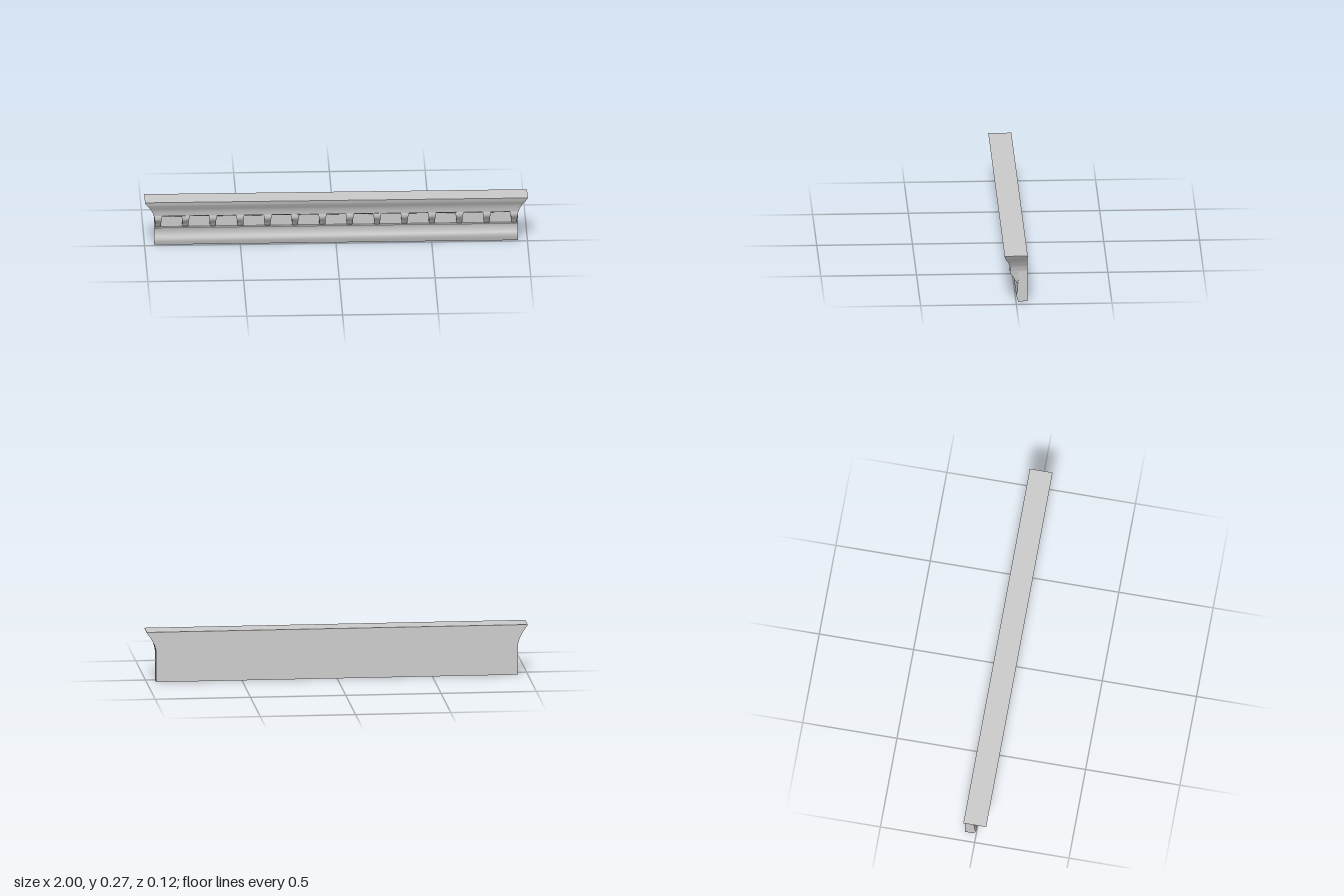
import * as THREE from 'three';
import { toCreasedNormals } from 'three/addons/utils/BufferGeometryUtils.js';

// Solid lofted upward from rows of [y, front z, half width], with a flat back.
function loft(rows, back) {
  const pos = [];
  const quad = (a, b, c, d) => pos.push(...a, ...b, ...c, ...a, ...c, ...d);
  const ring = ([y, z, w]) => [[-w, y, z], [w, y, z], [w, y, back], [-w, y, back]];
  for (let i = 0; i < rows.length - 1; i++) {
    const lo = ring(rows[i]), hi = ring(rows[i + 1]);
    for (let k = 0; k < 4; k++) {
      const n = (k + 1) % 4;
      quad(lo[k], lo[n], hi[n], hi[k]);
    }
  }
  const bottom = ring(rows[0]), top = ring(rows[rows.length - 1]);
  quad(bottom[3], bottom[2], bottom[1], bottom[0]);
  quad(top[0], top[1], top[2], top[3]);
  const geometry = new THREE.BufferGeometry();
  geometry.setAttribute('position', new THREE.Float32BufferAttribute(pos, 3));
  return toCreasedNormals(geometry, 0.8);
}

export function createModel() {
  const group = new THREE.Group();
  const stone = new THREE.MeshStandardMaterial({ color: 0xcccccc });
  stone.name = 'light grey stone';
  const add = (name, geometry, x = 0) => {
    const mesh = new THREE.Mesh(geometry, stone);
    mesh.name = name;
    mesh.position.x = x;
    group.add(mesh);
  };

  // Lower frieze band, swelling gently near its base
  add('friezeBand', loft([
    [0, -0.012, 0.95], [0.018, -0.006, 0.95], [0.036, -0.001, 0.95],
    [0.05, -0.006, 0.95], [0.065, -0.009, 0.95], [0.088, -0.009, 0.95],
    [0.098, -0.005, 0.95], [0.102, -0.008, 0.95],
  ], -0.06));

  // Recessed wall behind the brackets
  add('recessedPanel', loft([[0.102, -0.013, 0.95], [0.168, -0.01, 0.95]], -0.06));

  // Crown moulding, flaring forward and past both ends
  add('crownMoulding', loft([
    [0.168, 0.012, 0.951], [0.177, 0.029, 0.953], [0.188, 0.031, 0.956],
    [0.198, 0.033, 0.959], [0.205, 0.035, 0.963], [0.217, 0.039, 0.969],
    [0.23, 0.047, 0.977], [0.242, 0.053, 0.985], [0.252, 0.058, 0.992],
    [0.26, 0.06, 0.998], [0.266, 0.061, 1],
  ], -0.06));

  // Narrow stepped brackets dividing the recess into thirteen panels
  const bracket = loft([
    [0.1, -0.007, 0.012], [0.11, 0, 0.014], [0.117, 0.008, 0.016],
    [0.132, 0.012, 0.016], [0.138, 0.02, 0.017], [0.15, 0.027, 0.017],
    [0.158, 0.031, 0.019], [0.17, 0.031, 0.02], [0.178, 0.03, 0.022],
  ], -0.03);
  for (let i = 0; i < 14; i++) add('bracket', bracket, -0.93 + i * 1.86 / 13);

  return group;
}
